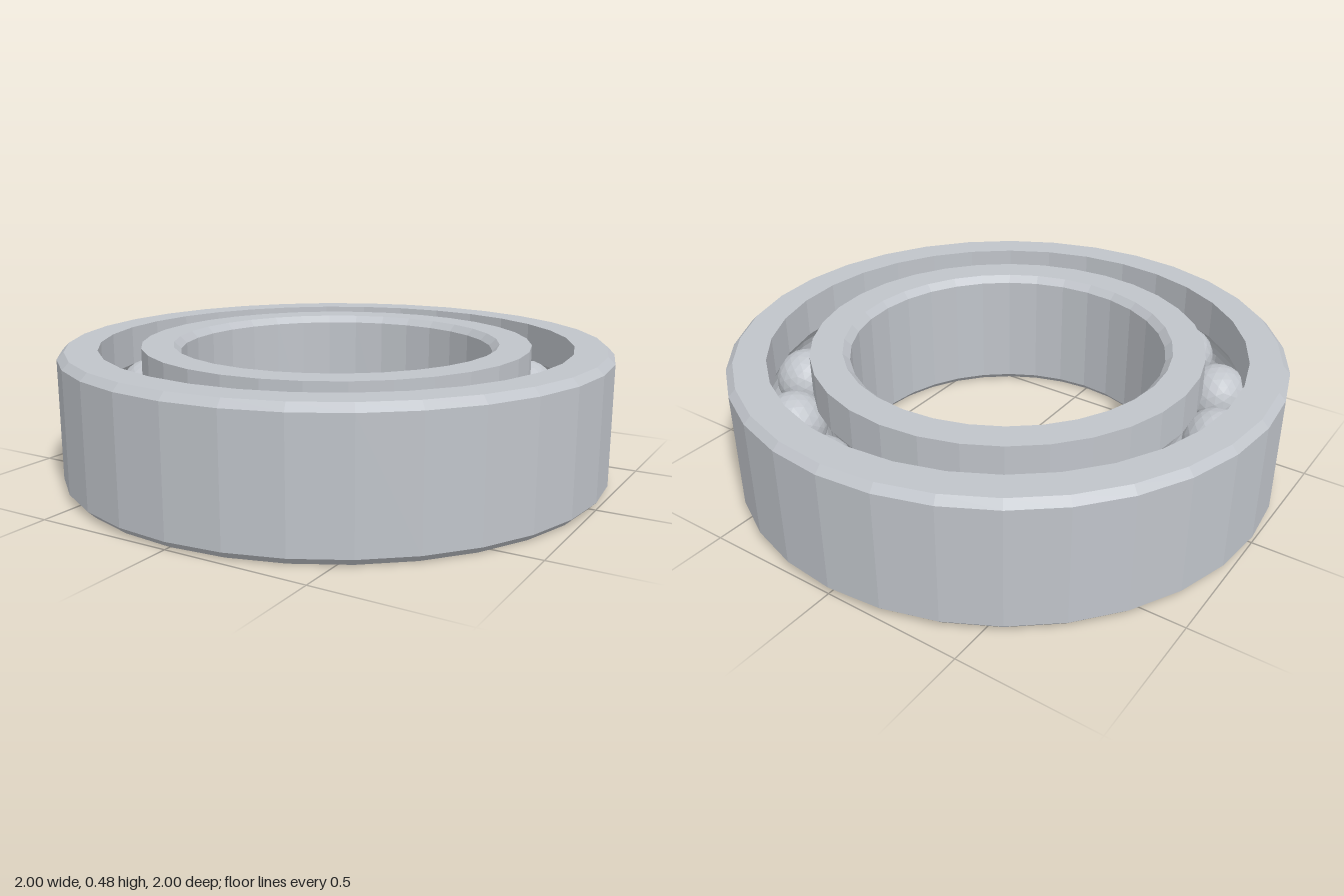
import * as THREE from 'three';

const HEIGHT = 0.48, MID = HEIGHT / 2, CHAMFER = 0.025;
const PITCH = 0.785, BALL_RADIUS = 0.117, BALLS = 15, SEGMENTS = 32;

// Arc of the ball groove where it cuts a wall at the given radius, from low to high
function groove(wall, steps = 8) {
  const r = BALL_RADIUS + 0.003;
  const side = Math.sign(wall - PITCH);
  const half = Math.acos(Math.abs(wall - PITCH) / r);
  return Array.from({ length: steps + 1 }, (_, i) => {
    const a = -half + (2 * half * i) / steps;
    return new THREE.Vector2(PITCH + side * r * Math.cos(a), MID + r * Math.sin(a));
  });
}

// Closed ring section: chamfered on its plain wall, grooved on its race wall
function raceRing(name, plain, race, material) {
  const edge = plain + Math.sign(race - plain) * CHAMFER;
  const section = [
    new THREE.Vector2(race, 0),
    new THREE.Vector2(edge, 0),
    new THREE.Vector2(plain, CHAMFER),
    new THREE.Vector2(plain, HEIGHT - CHAMFER),
    new THREE.Vector2(edge, HEIGHT),
    new THREE.Vector2(race, HEIGHT),
    ...groove(race).reverse(),
    new THREE.Vector2(race, 0),
  ];
  // Keep the section running so its faces point outwards
  if (plain < race) section.reverse();
  const mesh = new THREE.Mesh(new THREE.LatheGeometry(section, SEGMENTS), material);
  mesh.name = name;
  return mesh;
}

export function createModel() {
  const model = new THREE.Group();
  model.name = 'ballBearing';

  const steel = new THREE.MeshStandardMaterial({ color: 0xc0c4ca });
  steel.name = 'steel';
  steel.flatShading = true;

  // Rings
  model.add(raceRing('outerRing', 1, 0.86, steel));
  model.add(raceRing('innerRing', 0.57, 0.71, steel));

  // Balls
  const balls = new THREE.Group();
  balls.name = 'balls';
  const ballGeometry = new THREE.IcosahedronGeometry(BALL_RADIUS, 3);
  for (let i = 0; i < BALLS; i++) {
    const a = (i / BALLS) * Math.PI * 2;
    const ball = new THREE.Mesh(ballGeometry, steel);
    ball.name = 'ball';
    ball.position.set(PITCH * Math.cos(a), MID, PITCH * Math.sin(a));
    ball.rotation.y = -a;
    balls.add(ball);
  }
  model.add(balls);

  return model;
}
